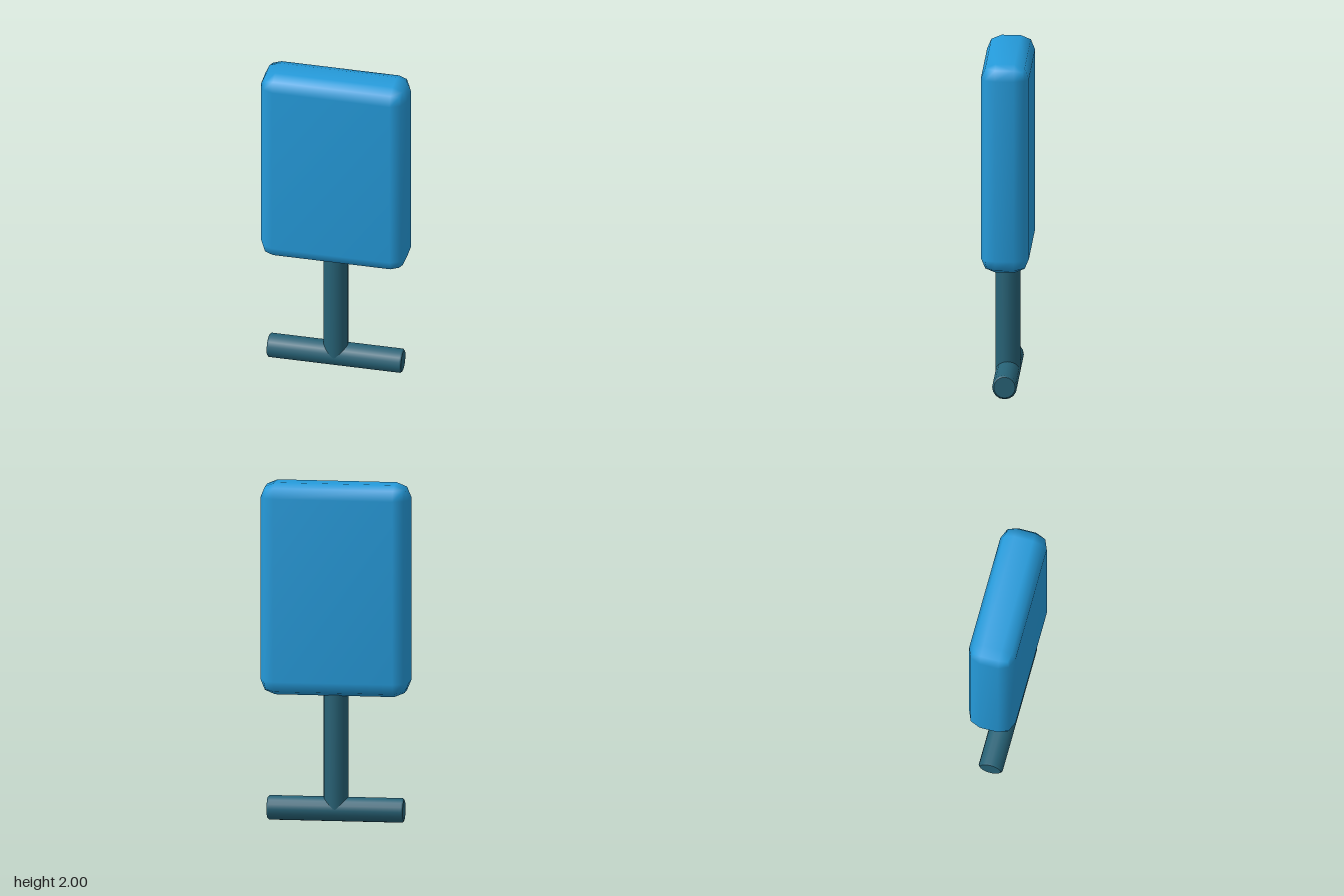
import * as THREE from 'three';
import { mergeVertices } from 'three/addons/utils/BufferGeometryUtils.js';
import { RoundedBoxGeometry } from 'three/addons/geometries/RoundedBoxGeometry.js';

const blue = new THREE.MeshStandardMaterial({ name: 'panel blue', color: 0x259bdb });
const teal = new THREE.MeshStandardMaterial({ name: 'stand teal', color: 0x276276 });

// Coarse rounded box with normals blended over all of its faces
function softBox(w, h, d, radius) {
  const box = new RoundedBoxGeometry(w, h, d, 1, radius);
  box.clearGroups();
  box.deleteAttribute('uv');
  box.deleteAttribute('normal');
  const soft = mergeVertices(box, 1e-4);
  soft.computeVertexNormals();
  return soft;
}

// Closed rod along y with slightly bevelled ends
function rod(radius, length, bevel) {
  const h = length / 2;
  const side = [[radius - bevel, -h], [radius, -h + bevel], [radius, h - bevel], [radius - bevel, h]];
  const profile = [[0, -h], side[0], ...side, side[3], [0, h]];
  return new THREE.LatheGeometry(profile.map(([x, y]) => new THREE.Vector2(x, y)), 16);
}

export function createModel() {
  const model = new THREE.Group();
  model.name = 'panelOnStand';
  const add = (name, geometry, material, y) => {
    const mesh = new THREE.Mesh(geometry, material);
    mesh.name = name;
    mesh.position.y = y;
    model.add(mesh);
    return mesh;
  };

  // Upright padded panel
  add('panel', softBox(0.87, 1.25, 0.28, 0.085), blue, 1.375);

  // Post from the foot bar up into the panel
  add('post', rod(0.0725, 0.78, 0.01), teal, 0.46);

  // Foot bar lying along x
  add('footBar', rod(0.0725, 0.8, 0.01), teal, 0.0725).rotation.z = Math.PI / 2;

  return model;
}
